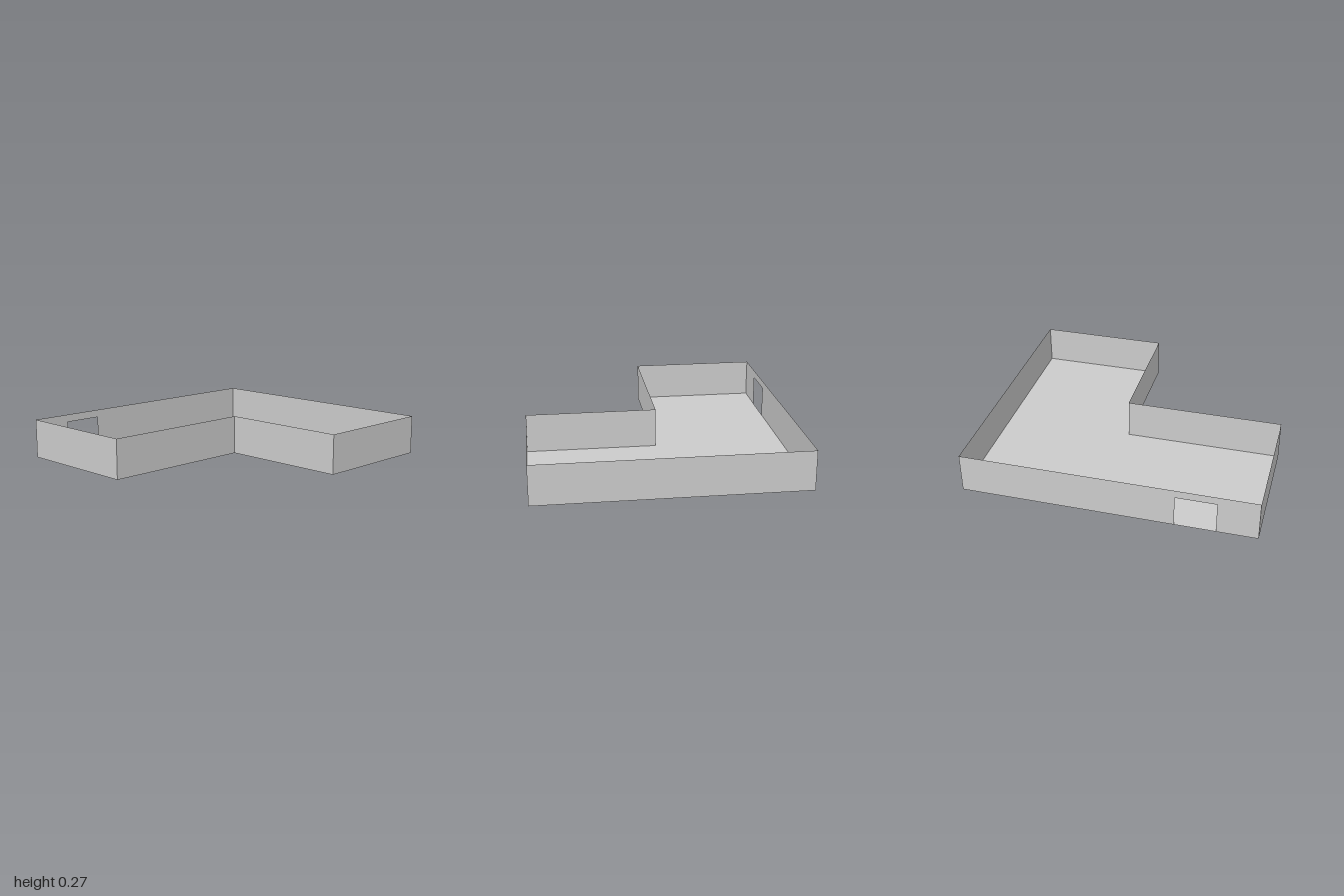
import * as THREE from 'three';

// Thin-walled, open-topped L-shaped room with one doorway
const U = 1 / 11; // one floor-plan unit
const HEIGHT = 3 * U;

// Floor plan corners as [x, z], counterclockwise seen from above
const PLAN = [[-10, 11], [0, 11], [0, -1], [10, -1], [10, -11], [-10, -11]]
  .map(([x, z]) => new THREE.Vector3(x * U, 0, z * U));
const WALL_NAMES = ['frontWall', 'innerSideWall', 'innerFrontWall', 'leftEndWall', 'backWall', 'doorWall'];

// Doorway: start and end along its wall, and height
const DOOR = { start: 16 * U, end: 19 * U, height: 2.4 * U };

const outline = (points) => new THREE.Shape(points.map(([x, y]) => new THREE.Vector2(x, y)));

// Upright sheet from a to b, facing outward, with an optional door cut from its foot
function makeWall(name, a, b, door, material) {
  const length = a.distanceTo(b);
  const cut = door
    ? [[door.start, 0], [door.start, door.height], [door.end, door.height], [door.end, 0]]
    : [];
  const shape = outline([[0, 0], ...cut, [length, 0], [length, HEIGHT], [0, HEIGHT]]);
  const wall = new THREE.Mesh(new THREE.ShapeGeometry(shape), material);
  wall.name = name;
  wall.position.copy(a);
  wall.rotation.y = Math.atan2(a.z - b.z, b.x - a.x);
  return wall;
}

export function createModel() {
  const group = new THREE.Group();
  group.name = 'room';
  const material = new THREE.MeshStandardMaterial({ color: 0xcccccc, side: THREE.DoubleSide });

  // Floor
  const floor = new THREE.Mesh(new THREE.ShapeGeometry(outline(PLAN.map((p) => [p.x, -p.z]))), material);
  floor.name = 'floor';
  floor.rotation.x = -Math.PI / 2;
  group.add(floor);

  // Walls around the plan
  WALL_NAMES.forEach((name, i) => {
    const door = name === 'doorWall' ? DOOR : null;
    group.add(makeWall(name, PLAN[i], PLAN[(i + 1) % PLAN.length], door, material));
  });
  return group;
}
